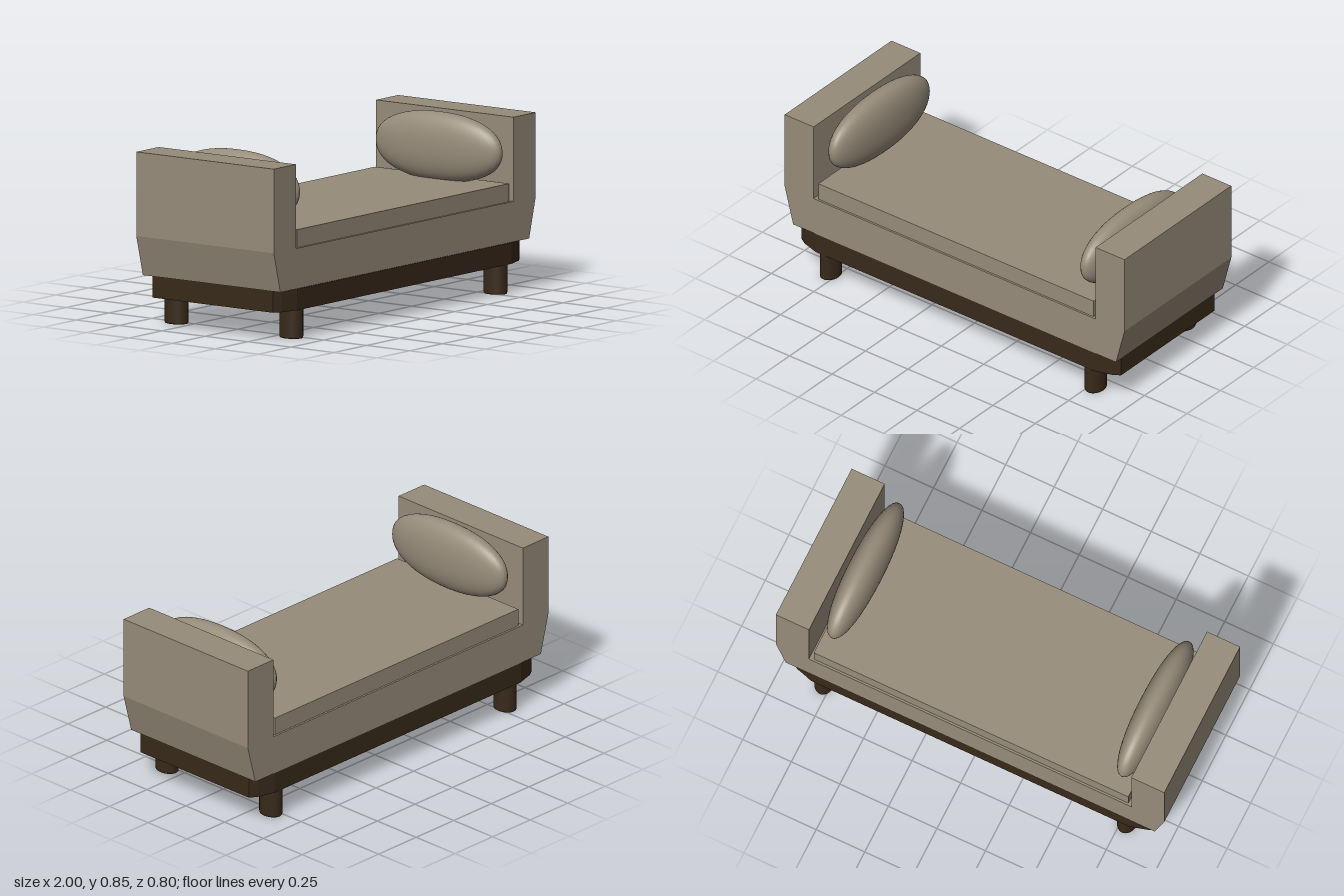
import * as THREE from 'three';
import { mergeVertices } from 'three/addons/utils/BufferGeometryUtils.js';

const fabric = new THREE.MeshStandardMaterial({ color: 0x978c7a });
const wood = new THREE.MeshStandardMaterial({ color: 0x38291a });

function add(group, name, geometry, material, x = 0, y = 0, z = 0) {
  const mesh = new THREE.Mesh(geometry, material);
  mesh.name = name;
  mesh.position.set(x, y, z);
  group.add(mesh);
  return mesh;
}

const toShape = (points) => new THREE.Shape(points.map(([x, y]) => new THREE.Vector2(x, y)));

// Soft, slightly squared ellipsoid
function pillowGeometry(rx, ry, rz) {
  const geometry = new THREE.SphereGeometry(1, 40, 28);
  geometry.deleteAttribute('uv');
  geometry.deleteAttribute('normal');
  const pos = geometry.attributes.position;
  const p = 2.2;
  for (let i = 0; i < pos.count; i++) {
    const v = new THREE.Vector3().fromBufferAttribute(pos, i);
    const len = (Math.abs(v.x) ** p + Math.abs(v.y) ** p + Math.abs(v.z) ** p) ** (1 / p);
    v.divideScalar(len);
    pos.setXYZ(i, v.x * rx, v.y * ry, v.z * rz);
  }
  const merged = mergeVertices(geometry, 1e-5);
  merged.computeVertexNormals();
  return merged;
}

export function createModel() {
  const group = new THREE.Group();
  group.name = 'daybed';

  // Upholstered body: both arms and the seat deck in one profile
  const half = [[0.95, 0.24], [1, 0.43], [1, 0.825], [0.83, 0.825], [0.83, 0.43]];
  const profile = [...half, ...half.map(([x, y]) => [-x, y]).reverse()];
  const body = new THREE.ExtrudeGeometry(toShape(profile), { depth: 0.8, bevelEnabled: false });
  add(group, 'body', body, fabric, 0, 0, -0.4);

  // Seat cushion
  add(group, 'seatCushion', new THREE.BoxGeometry(1.62, 0.095, 0.78), fabric, 0, 0.4675, 0);

  // Bolster pillows, one leaning on each arm
  add(group, 'rightPillow', pillowGeometry(0.078, 0.165, 0.362), fabric, -0.759, 0.68, 0);
  add(group, 'leftPillow', pillowGeometry(0.08, 0.162, 0.362), fabric, 0.748, 0.663, 0.03);

  // Wooden plinth with cut corners
  const corner = [[0.94, 0.35], [0.905, 0.372], [0.865, 0.383], [0.82, 0.397]];
  const mirrorX = corner.map(([x, z]) => [-x, z]).reverse();
  const top = [...corner, ...mirrorX];
  const outline = [...top, ...top.map(([x, z]) => [-x, -z])];
  const plinth = new THREE.ExtrudeGeometry(toShape(outline), { depth: 0.1, bevelEnabled: false });
  plinth.rotateX(-Math.PI / 2);
  add(group, 'plinth', plinth, wood, 0, 0.138, 0);

  // Oval legs with softened feet
  const legProfile = [[0, 0], [0.94, 0], [0.985, 0.003], [1, 0.008], [1, 0.145]]
    .map(([r, y]) => new THREE.Vector2(r, y));
  const leg = new THREE.LatheGeometry(legProfile, 32);
  for (const sx of [-1, 1]) {
    for (const sz of [-1, 1]) {
      const name = (sz > 0 ? 'front' : 'back') + (sx > 0 ? 'Left' : 'Right') + 'Leg';
      add(group, name, leg, wood, sx * 0.779, 0, sz * 0.334).scale.set(0.046, 1, 0.06);
    }
  }
  return group;
}
